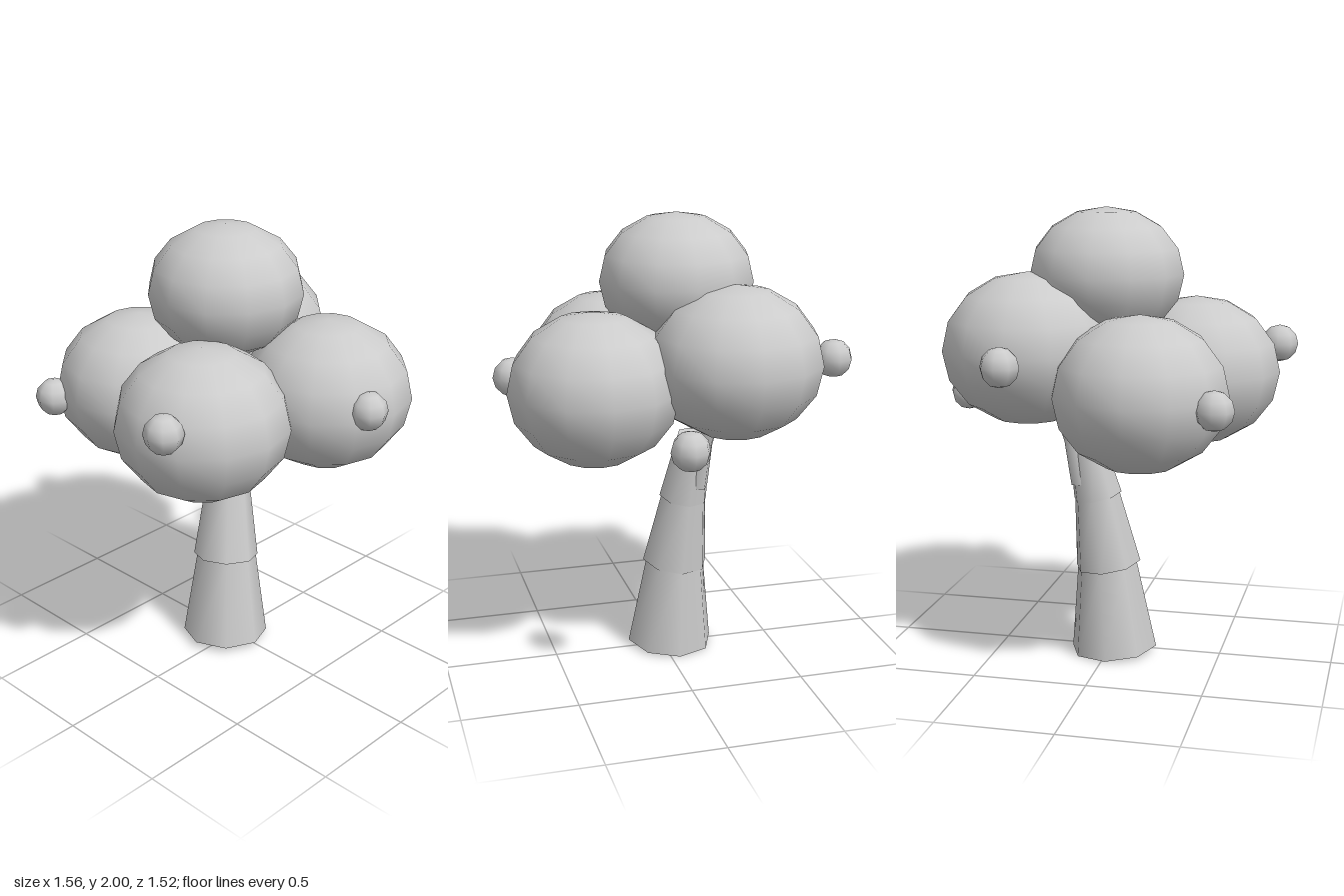
import * as THREE from 'three';

const material = new THREE.MeshStandardMaterial({ color: 0xcccccc });

function blob(name, [x, y, z], radius, height, sides, rings) {
  const mesh = new THREE.Mesh(new THREE.SphereGeometry(1, sides, rings), material);
  mesh.name = name;
  mesh.position.set(x, y, z);
  mesh.scale.set(radius, height, radius);
  return mesh;
}

// Tapered round piece running from one point to another
function limb(name, from, to, r0, r1, sides) {
  const a = new THREE.Vector3(...from);
  const b = new THREE.Vector3(...to);
  const axis = b.clone().sub(a);
  const mesh = new THREE.Mesh(new THREE.CylinderGeometry(r1, r0, axis.length(), sides), material);
  mesh.name = name;
  mesh.position.copy(a).add(b).multiplyScalar(0.5);
  mesh.quaternion.setFromUnitVectors(new THREE.Vector3(0, 1, 0), axis.normalize());
  return mesh;
}

export function createModel() {
  const tree = new THREE.Group();
  tree.name = 'tree';

  // Leaning trunk: three stacked tapers, each flaring over the one below
  const trunk = new THREE.Group();
  trunk.name = 'trunk';
  trunk.add(
    limb('trunkLower', [-0.02, 0.016, -0.04], [0.008, 0.42, -0.057], 0.195, 0.135, 8),
    limb('trunkMiddle', [0.003, 0.415, -0.057], [0.048, 0.745, -0.087], 0.148, 0.102, 8),
    limb('trunkUpper', [0.045, 0.735, -0.085], [0.1, 1.03, -0.115], 0.11, 0.072, 8),
  );
  tree.add(trunk);

  // Side branch reaching up into the rear crown
  const branch = new THREE.Group();
  branch.name = 'branch';
  branch.add(
    limb('branchLower', [0.105, 0.8, -0.13], [0.145, 1.01, -0.155], 0.05, 0.036, 6),
    limb('branchUpper', [0.14, 0.99, -0.152], [0.21, 1.2, -0.195], 0.037, 0.026, 6),
  );
  tree.add(branch);

  // Squashed leaf crowns
  const crowns = [
    ['crownTop', [0.01, 1.715, -0.06], 0.34, 0.285],
    ['crownRight', [-0.35, 1.275, 0.155], 0.375, 0.33],
    ['crownFront', [0.207, 1.3, 0.35], 0.37, 0.328],
    ['crownLeft', [0.312, 1.405, -0.235], 0.375, 0.327],
    ['crownBack', [-0.205, 1.25, -0.38], 0.375, 0.33],
  ];
  for (const [name, centre, radius, height] of crowns) {
    tree.add(blob(name, centre, radius, height, 12, 8));
  }

  // Small round fruits around the crowns
  const fruits = [
    [-0.705, 1.385, 0.3],
    [0.088, 1.345, 0.675],
    [0.69, 1.15, 0.07],
    [0.302, 1.39, -0.68],
    [-0.545, 1.23, -0.57],
  ];
  fruits.forEach((p, i) => tree.add(blob(`fruit${i + 1}`, p, 0.083, 0.083, 8, 6)));

  return tree;
}
